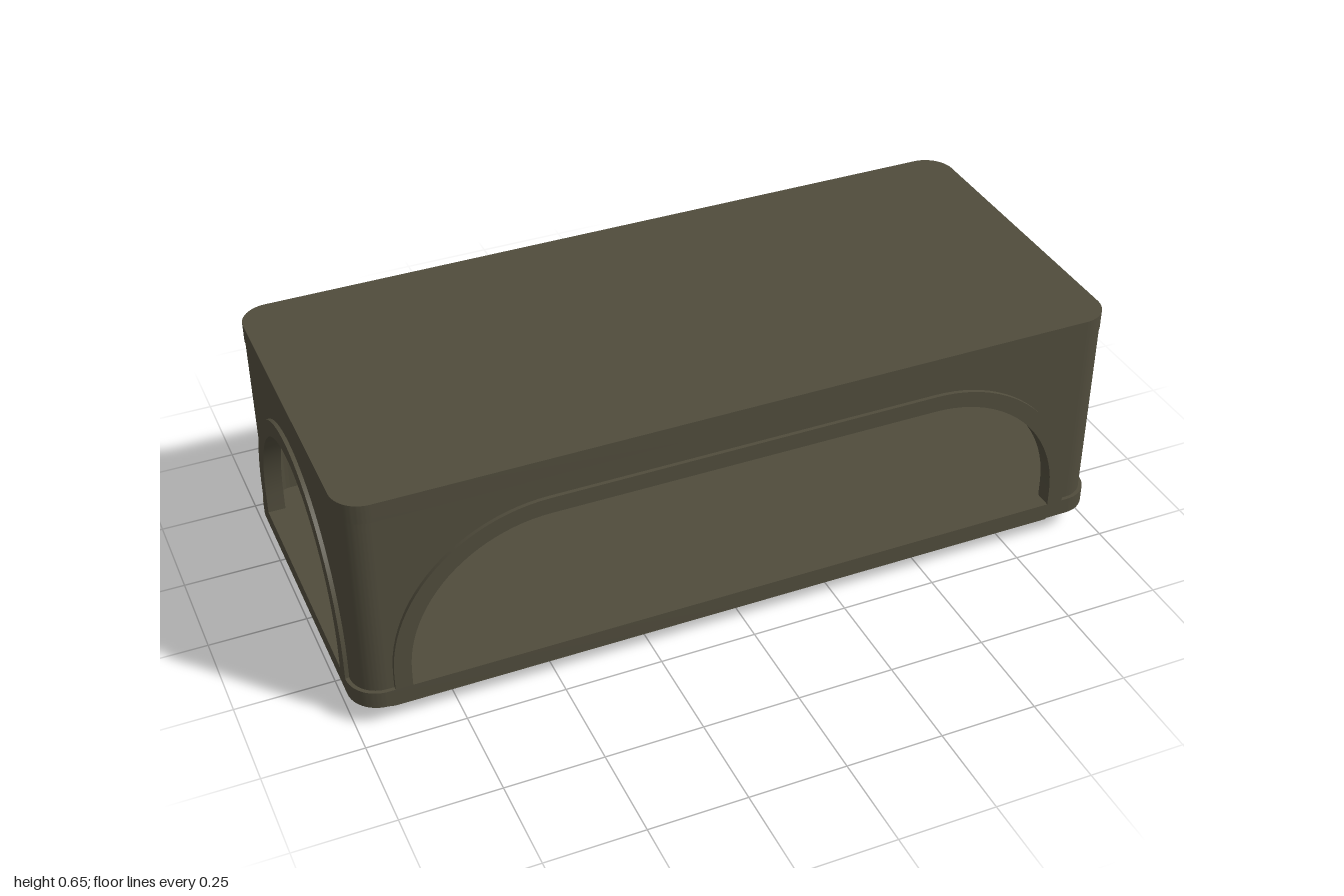
import * as THREE from 'three';
import { toCreasedNormals } from 'three/addons/utils/BufferGeometryUtils.js';

const FLOOR_TOP = 0.105, ROOF_BOTTOM = 0.6, WALL = 0.035, FRAME = 0.045, CORNER = 0.07;

function roundedRect(hw, hd, r) {
  const s = new THREE.Shape();
  s.moveTo(-hw + r, -hd);
  s.lineTo(hw - r, -hd);
  s.absarc(hw - r, -hd + r, r, -Math.PI / 2, 0);
  s.lineTo(hw, hd - r);
  s.absarc(hw - r, hd - r, r, 0, Math.PI / 2);
  s.lineTo(-hw + r, hd);
  s.absarc(-hw + r, hd - r, r, Math.PI / 2, Math.PI);
  s.lineTo(-hw, -hd + r);
  s.absarc(-hw + r, -hd + r, r, Math.PI, Math.PI * 1.5);
  return s;
}

function extrude(shape, depth) {
  return new THREE.ExtrudeGeometry(shape, { depth, bevelEnabled: false, curveSegments: 12 });
}

// Extrude a floor-plan shape upwards from y0 to y1
function slab(shape, y0, y1) {
  const g = extrude(shape, y1 - y0).rotateX(-Math.PI / 2).translate(0, y0, 0);
  return toCreasedNormals(g, 0.6);
}

// Arch outline from bottom left to bottom right: quarter ellipses joined by a flat top
function archPoints(half, flat, top) {
  const spring = 0.15, n = 24, right = [];
  for (let i = 0; i <= n; i++) {
    const a = (i / n) * Math.PI / 2;
    right.push(new THREE.Vector2(flat + (half - flat) * Math.sin(a), spring + (top - spring) * Math.cos(a)));
  }
  right.push(new THREE.Vector2(half, FLOOR_TOP));
  const left = right.map(p => new THREE.Vector2(-p.x, p.y)).reverse();
  return [...left, ...(flat > 0 ? right : right.slice(1))];
}

export function createModel() {
  const model = new THREE.Group();
  model.name = 'archedTable';
  const olive = new THREE.MeshStandardMaterial({ color: 0x504c3c });
  olive.name = 'darkOlive';

  const add = (parent, name, geometry) => {
    const mesh = new THREE.Mesh(geometry, olive);
    mesh.name = name;
    parent.add(mesh);
    return mesh;
  };

  // Roof and floor slabs
  add(model, 'roof', slab(roundedRect(0.992, 0.443, 0.075), ROOF_BOTTOM, 0.65));
  add(model, 'floor', slab(roundedRect(1, 0.45, 0.08), 0.06, FLOOR_TOP));

  // Four walls, each with an arched opening and a raised arch frame
  const walls = [
    { name: 'front', turn: 0, out: 0.44, half: 0.92, arch: 0.86, flat: 0.5 },
    { name: 'left', turn: 1, out: 0.99, half: 0.37, arch: 0.323, flat: 0 },
    { name: 'back', turn: 2, out: 0.44, half: 0.92, arch: 0.86, flat: 0.5 },
    { name: 'right', turn: 3, out: 0.99, half: 0.37, arch: 0.323, flat: 0 },
  ];
  for (const w of walls) {
    const group = new THREE.Group();
    group.name = w.name + 'Side';
    group.rotation.y = w.turn * Math.PI / 2;
    const inner = archPoints(w.arch, w.flat, 0.502);
    const outer = archPoints(w.arch + 0.043, w.flat, 0.545);
    const panel = new THREE.Shape([
      new THREE.Vector2(-w.half, FLOOR_TOP), ...outer,
      new THREE.Vector2(w.half, FLOOR_TOP),
      new THREE.Vector2(w.half, ROOF_BOTTOM), new THREE.Vector2(-w.half, ROOF_BOTTOM),
    ]);
    const frame = new THREE.Shape([...outer, ...inner.slice().reverse()]);
    const back = w.out - WALL;
    add(group, w.name + 'Wall', toCreasedNormals(extrude(panel, WALL).translate(0, 0, back), 0.5));
    add(group, w.name + 'ArchFrame', toCreasedNormals(extrude(frame, FRAME).translate(0, 0, back), 0.5));
    model.add(group);
  }

  // Rounded corner posts joining the walls
  for (const sx of [-1, 1]) for (const sz of [-1, 1]) {
    const start = Math.atan2(-sz, sx) - Math.PI / 4;
    const post = new THREE.Shape();
    post.absarc(0, 0, CORNER, start, start + Math.PI / 2, false);
    post.absarc(0, 0, CORNER - WALL, start + Math.PI / 2, start, true);
    const mesh = add(model, 'cornerPost', slab(post, FLOOR_TOP, ROOF_BOTTOM));
    mesh.position.set(sx * (0.99 - CORNER), 0, sz * (0.44 - CORNER));
  }

  // Hollow base skirt, flared slightly with a gently wavy lower edge
  const plan = (hw, hd, r) => roundedRect(hw, hd, r).getSpacedPoints(200).slice(0, -1);
  const skirt = new THREE.Shape(plan(0.94, 0.385, 0.06));
  skirt.holes.push(new THREE.Path(plan(0.915, 0.36, 0.04)));
  const base = extrude(skirt, 0.062).rotateX(-Math.PI / 2);
  const p = base.attributes.position;
  for (let i = 0; i < p.count; i++) {
    const x = p.getX(i), z = p.getZ(i);
    if (p.getY(i) > 0.03) continue;
    const onEnd = Math.abs(x) > 0.89;
    const wave = onEnd
      ? 0.006 * (1 - Math.cos(2 * Math.PI * z / 0.3)) * (Math.abs(z) < 0.3 ? 1 : 0)
      : 0.004 * (1 - Math.cos(2 * Math.PI * x / 0.89));
    p.setXYZ(i, x * 1.014, wave, z * 1.014);
  }
  add(model, 'baseSkirt', toCreasedNormals(base, 0.6));

  return model;
}
